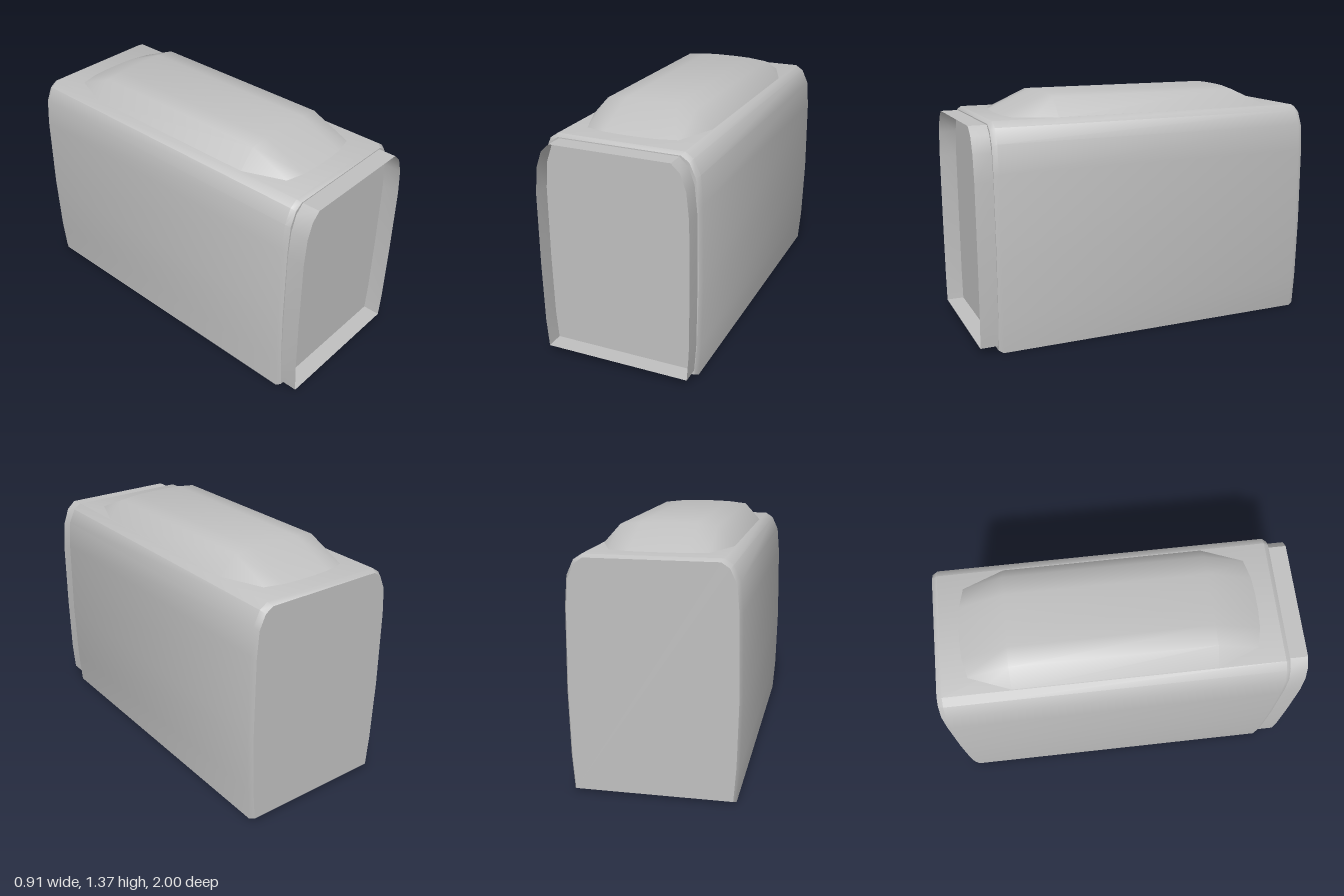
import * as THREE from 'three';
import { toCreasedNormals } from 'three/addons/utils/BufferGeometryUtils.js';

// Mirror a right-hand half profile (bottom to top) into a closed counter-clockwise ring
const mirror = (half) => [...half, ...half.map(([x, y]) => [-x, y]).reverse()];

// Skin rings [{ z, pts }] from back to front, with optional end caps
function loft(rings, capBack, capFront, crease) {
  const pos = [];
  const n = rings[0].pts.length;
  const put = (r, j) => pos.push(r.pts[j % n][0], r.pts[j % n][1], r.z);
  for (let i = 0; i < rings.length - 1; i++) {
    const a = rings[i], b = rings[i + 1];
    for (let j = 0; j < n; j++) {
      put(a, j); put(a, j + 1); put(b, j);
      put(a, j + 1); put(b, j + 1); put(b, j);
    }
  }
  const first = rings[0], last = rings[rings.length - 1];
  for (let j = 1; j < n - 1; j++) {
    if (capBack) { put(first, 0); put(first, j + 1); put(first, j); }
    if (capFront) { put(last, 0); put(last, j); put(last, j + 1); }
  }
  const geo = new THREE.BufferGeometry();
  geo.setAttribute('position', new THREE.Float32BufferAttribute(pos, 3));
  return toCreasedNormals(geo, crease);
}

export function createModel() {
  const group = new THREE.Group();
  const grey = new THREE.MeshStandardMaterial({ color: 0xc0c0c0, side: THREE.DoubleSide });
  grey.name = 'grey';
  const add = (name, geo) => {
    const mesh = new THREE.Mesh(geo, grey);
    mesh.name = name;
    group.add(mesh);
  };

  // Main casing: gently bulging sides, rounded shoulders, bevelled ends
  const outer = mirror([[0.43, 0], [0.445, 0.19], [0.455, 0.55], [0.45, 0.99],
    [0.437, 1.145], [0.4, 1.225], [0.355, 1.255]]);
  const inset = outer.map(([x, y]) => [x * 0.967, 0.012 + y * 0.979]);
  add('casing', loft([
    { z: -1, pts: inset }, { z: -0.97, pts: outer },
    { z: 0.875, pts: outer }, { z: 0.9, pts: inset },
  ], true, false, 0.7));

  // Flat panel closing the front, set behind the collar
  const panel = new THREE.ShapeGeometry(
    new THREE.Shape(inset.map(([x, y]) => new THREE.Vector2(x, y))));
  panel.translate(0, 0, 0.9);
  add('frontPanel', panel);

  // Thin open collar standing proud of the front
  const rim = mirror([[0.415, 0.04], [0.427, 0.2], [0.432, 0.55], [0.43, 0.95],
    [0.415, 1.1], [0.383, 1.19], [0.335, 1.235]]);
  add('frontCollar', loft([{ z: 0.9, pts: rim }, { z: 1, pts: rim }], false, false, 0.7));

  // Raised roof hump: one section that sinks into the casing at both ends
  const hump = (z, drop) => ({
    z,
    pts: mirror([[0.355, 1.25], [0.26, 1.355], [0.15, 1.367], [0.05, 1.37]])
      .map(([x, y]) => [x, y - drop]),
  });
  add('roofHump', loft([
    hump(-0.87, 0.118), hump(-0.6, 0), hump(0.51, 0), hump(0.78, 0.118),
  ], true, true, 0.9));

  return group;
}
